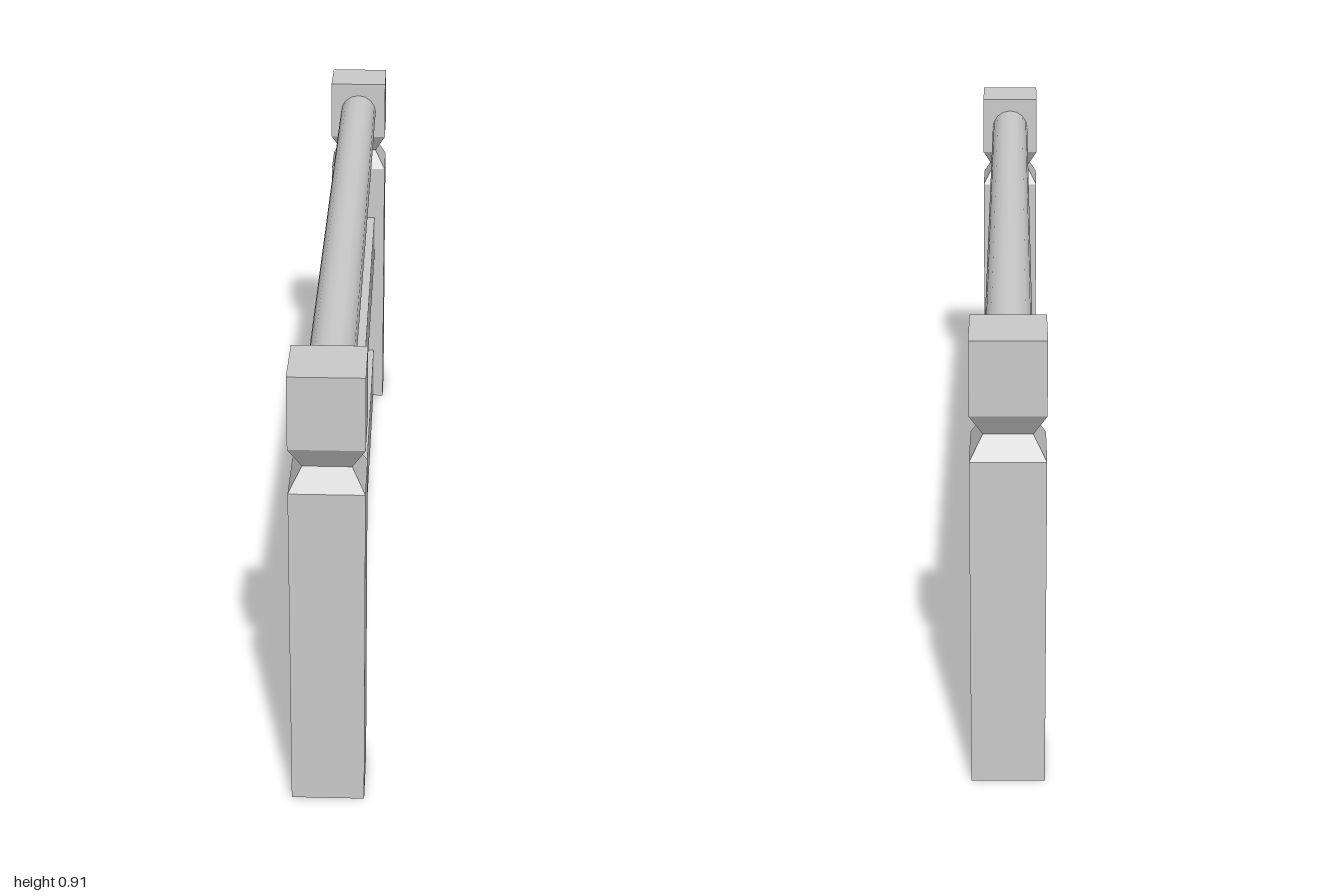
import * as THREE from 'three';

const material = new THREE.MeshStandardMaterial({ color: 0xcccccc });
const flatMaterial = new THREE.MeshStandardMaterial({ color: 0xcccccc, flatShading: true });

function addBox(group, name, width, yMin, yMax, zMin, zMax) {
  const mesh = new THREE.Mesh(new THREE.BoxGeometry(width, yMax - yMin, zMax - zMin), material);
  mesh.name = name;
  mesh.position.set(0, (yMin + yMax) / 2, (zMin + zMax) / 2);
  group.add(mesh);
}

// Square post with a pinched neck: a four-sided lathe turned to face the axes
function postGeometry() {
  const profile = [[0, 0], [0.071, 0], [0.071, 0.673], [0.046, 0.718], [0.071, 0.763], [0.071, 0.907], [0, 0.907]];
  const points = profile.map(([half, y]) => new THREE.Vector2(half * Math.SQRT2, y));
  return new THREE.LatheGeometry(points, 4, Math.PI / 4).toNonIndexed();
}

export function createModel() {
  const group = new THREE.Group();
  group.name = 'railing';

  // End posts
  const geometry = postGeometry();
  geometry.computeVertexNormals();
  for (const side of [1, -1]) {
    const post = new THREE.Mesh(geometry, flatMaterial);
    post.name = side > 0 ? 'frontPost' : 'backPost';
    post.position.z = side * 0.929;
    group.add(post);
  }

  // Flat rails and the short upright between them
  addBox(group, 'lowerRail', 0.09, 0.015, 0.14, -0.86, 0.86);
  addBox(group, 'upperRail', 0.09, 0.415, 0.535, -0.86, 0.86);
  addBox(group, 'middleUpright', 0.04, 0.14, 0.415, -0.06, 0.07);

  // Round handrail
  const handrail = new THREE.Mesh(new THREE.CylinderGeometry(0.046, 0.046, 1.73, 16), material);
  handrail.name = 'handrail';
  handrail.rotation.x = Math.PI / 2;
  handrail.position.y = 0.83;
  group.add(handrail);

  return group;
}
